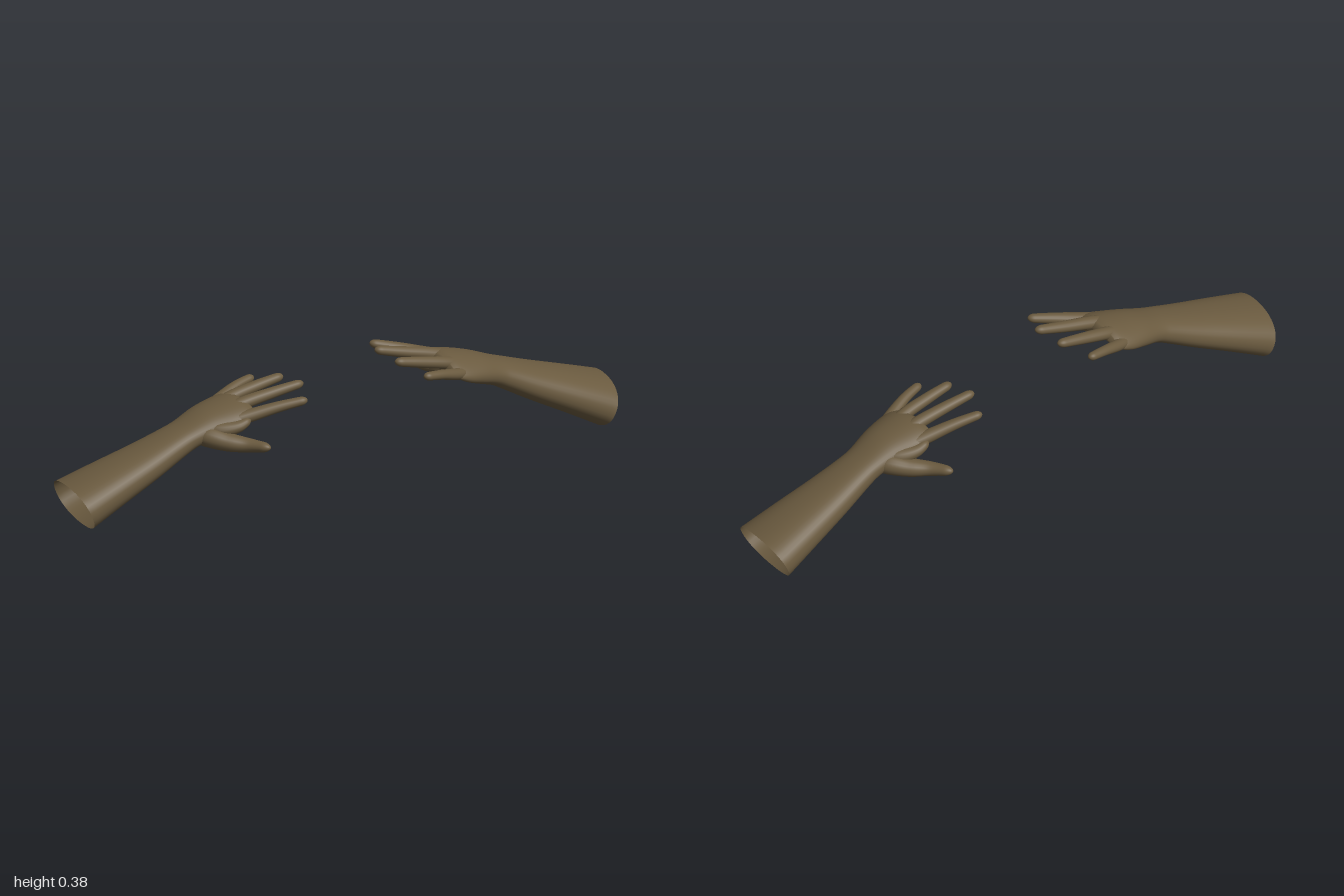
import * as THREE from 'three';

const V = (x, y, z) => new THREE.Vector3(x, y, z);
const skin = new THREE.MeshStandardMaterial({ color: 0x6a5a3f, side: THREE.DoubleSide });
skin.name = 'olive brown skin';

// Smooth skin over a list of rings; the far end closes on a tip point
function loft(rings, tip) {
  const n = rings[0].length, pos = [], idx = [];
  rings.forEach(r => r.forEach(p => pos.push(p.x, p.y, p.z)));
  for (let i = 0; i < rings.length - 1; i++) {
    for (let j = 0; j < n; j++) {
      const a = i * n + j, b = i * n + (j + 1) % n;
      idx.push(a, a + n, b, b, a + n, b + n);
    }
  }
  const last = (rings.length - 1) * n;
  pos.push(tip.x, tip.y, tip.z);
  for (let j = 0; j < n; j++) idx.push(last + j, last + n, last + (j + 1) % n);
  const g = new THREE.BufferGeometry();
  g.setAttribute('position', new THREE.Float32BufferAttribute(pos, 3));
  g.setIndex(idx);
  g.computeVertexNormals();
  return g;
}

// Forearm and palm: centre x, y, z, half width, half thickness, droop of the sides
const armRows = [
  [-0.077, 0.087, 0.970, 0.135, 0.077, 0],
  [-0.061, 0.137, 0.850, 0.117, 0.066, 0],
  [-0.044, 0.190, 0.720, 0.096, 0.055, 0],
  [-0.032, 0.234, 0.620, 0.080, 0.046, 0],
  [-0.028, 0.256, 0.570, 0.078, 0.042, 0.002],
  [-0.026, 0.285, 0.500, 0.091, 0.042, 0.010],
  [-0.019, 0.308, 0.440, 0.105, 0.036, 0.018],
  [-0.013, 0.326, 0.395, 0.108, 0.026, 0.022],
  [-0.010, 0.332, 0.372, 0.100, 0.015, 0.020],
];
function armGeometry() {
  const centre = new THREE.CatmullRomCurve3(armRows.map(r => V(r[0], r[1], r[2])), false, 'catmullrom');
  const size = new THREE.CatmullRomCurve3(armRows.map(r => V(r[3], r[4], r[5])), false, 'catmullrom');
  const rings = [], n = 40, steps = 48;
  for (let i = 0; i <= steps; i++) {
    const t = i / steps, c = centre.getPoint(t), s = size.getPoint(t);
    const side = V(1, 0, 0.17 * (1 - t)).normalize();
    const up = V(0, 0.92, 0.39 - 0.07 * t).normalize();
    rings.push(Array.from({ length: n }, (_, j) => {
      const a = j / n * Math.PI * 2, co = Math.cos(a), si = Math.sin(a);
      // slightly squared oval
      const u = Math.sign(co) * Math.abs(co) ** 0.9, v = Math.sign(si) * Math.abs(si) ** 0.9;
      const p = c.clone().addScaledVector(side, u * s.x).addScaledVector(up, v * s.y);
      p.y -= s.z * u * u;
      return p;
    }));
  }
  return loft(rings, V(-0.01, 0.335, 0.362));
}

// Rounded, tapering finger along a path with one radius per path point
function fingerGeometry(points, radii, flat = 0.9) {
  const path = new THREE.CatmullRomCurve3(points.map(p => V(...p)), false, 'catmullrom');
  const width = new THREE.CatmullRomCurve3(radii.map((r, i) => V(r, i, 0)), false, 'catmullrom');
  const rings = [], n = 20, steps = 36, length = path.getLength(), tipR = radii[radii.length - 1];
  for (let i = 0; i < steps; i++) {
    const t = Math.sin(i / steps * Math.PI / 2), c = path.getPoint(t), d = path.getTangent(t);
    const side = d.clone().cross(V(0, 1, 0)).normalize(), up = side.clone().cross(d);
    const k = Math.max(0, 1 - (1 - t) * length / (tipR * 1.5));
    const r = width.getPoint(t).x * Math.sqrt(1 - k * k);
    rings.push(Array.from({ length: n }, (_, j) => {
      const a = j / n * Math.PI * 2;
      return c.clone().addScaledVector(side, Math.cos(a) * r).addScaledVector(up, Math.sin(a) * r * flat);
    }));
  }
  return loft(rings, path.getPoint(1));
}

const fingers = {
  littleFinger: [[[-0.075, 0.290, 0.47], [-0.102, 0.312, 0.385], [-0.118, 0.334, 0.31], [-0.126, 0.347, 0.237]],
    [0.022, 0.021, 0.0175, 0.0145]],
  ringFinger: [[[-0.042, 0.300, 0.47], [-0.050, 0.330, 0.385], [-0.041, 0.352, 0.285], [-0.029, 0.370, 0.19]],
    [0.024, 0.0225, 0.020, 0.0155]],
  middleFinger: [[[0.002, 0.302, 0.47], [0.020, 0.332, 0.385], [0.043, 0.354, 0.28], [0.069, 0.374, 0.18]],
    [0.025, 0.0235, 0.020, 0.0155]],
  indexFinger: [[[0.042, 0.290, 0.47], [0.078, 0.312, 0.385], [0.115, 0.334, 0.305], [0.155, 0.352, 0.224]],
    [0.026, 0.0235, 0.0195, 0.015]],
  thumb: [[[-0.01, 0.258, 0.565], [0.038, 0.256, 0.525], [0.088, 0.243, 0.482], [0.137, 0.238, 0.438], [0.209, 0.244, 0.407]],
    [0.025, 0.038, 0.033, 0.025, 0.0155]],
};

function createHand(name) {
  const hand = new THREE.Group();
  hand.name = name;
  const add = (part, geometry) => {
    const mesh = new THREE.Mesh(geometry, skin);
    mesh.name = part;
    hand.add(mesh);
  };
  add('forearmAndPalm', armGeometry());
  for (const [part, [points, radii]] of Object.entries(fingers)) add(part, fingerGeometry(points, radii));
  // web of skin between thumb and index finger
  add('thumbWeb', fingerGeometry([[0.0, 0.275, 0.53], [0.045, 0.275, 0.49], [0.078, 0.285, 0.445], [0.09, 0.305, 0.4]],
    [0.03, 0.035, 0.026, 0.014], 0.8));
  return hand;
}

export function createModel() {
  const model = new THREE.Group();
  model.name = 'pairOfHands';
  const front = createHand('frontHand');
  // facing hand, turned about and rolled a little
  const rear = createHand('rearHand');
  rear.rotation.set(0, Math.PI + 0.013, -0.1, 'ZYX');
  rear.position.set(-0.011, -0.008, 0);
  model.add(front, rear);
  return model;
}
